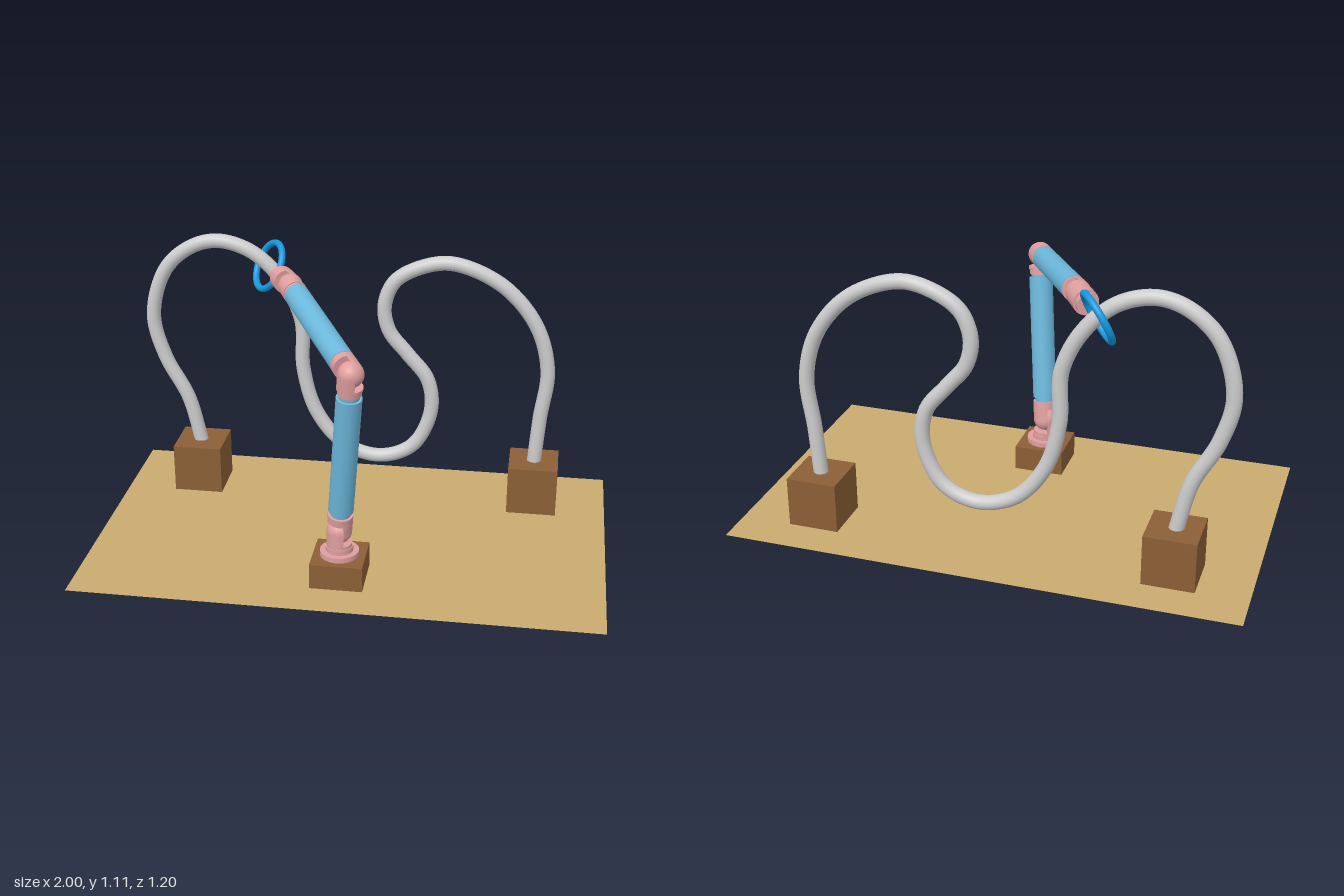
import * as THREE from 'three';

const V = (x, y, z) => new THREE.Vector3(x, y, z);
const paint = (color) => new THREE.MeshStandardMaterial({ color });

export function createModel() {
  const model = new THREE.Group();
  const brown = paint(0x8b5f36), pink = paint(0xdf9e9e), blue = paint(0x6cb8dc);
  const ringBlue = paint(0x1398de), grey = paint(0xcccccc), tan = paint(0xc8ab6e);
  tan.side = THREE.DoubleSide;

  const add = (parent, name, geometry, material) => {
    const mesh = new THREE.Mesh(geometry, material);
    mesh.name = name;
    parent.add(mesh);
    return mesh;
  };

  // Floor sheet and wooden blocks
  add(model, 'floor', new THREE.PlaneGeometry(2, 1.2).rotateX(-Math.PI / 2), tan);
  const block = (name, x, z, h) =>
    add(model, name, new THREE.BoxGeometry(0.2, h, 0.2).translate(x, h / 2, z), brown);
  block('leftWireBlock', 0.7, -0.35, 0.2);
  block('rightWireBlock', -0.7, -0.35, 0.2);
  block('armBlock', 0, 0.35, 0.1);

  // Winding wire, in one upright plane
  const path = [
    [-0.7, 0.18], [-0.75, 0.39], [-0.84, 0.57], [-0.88, 0.75], [-0.82, 0.95], [-0.71, 1.05],
    [-0.595, 1.08], [-0.46, 1.04], [-0.34, 0.925], [-0.265, 0.765], [-0.258, 0.55],
    [-0.205, 0.36], [-0.09, 0.22], [0.06, 0.175], [0.195, 0.23], [0.27, 0.39], [0.255, 0.53],
    [0.17, 0.64], [0.095, 0.735], [0.075, 0.84], [0.115, 0.945], [0.22, 1.01], [0.345, 1.03],
    [0.54, 0.95], [0.68, 0.79], [0.735, 0.6], [0.715, 0.39], [0.7, 0.18],
  ].map(([x, y]) => V(x, y, -0.35));
  add(model, 'wire', new THREE.TubeGeometry(new THREE.CatmullRomCurve3(path), 260, 0.029, 20), grey);

  // Arm: three hinges lying in one upright plane, all turning about the same axis
  const hinge = V(0.88, 0, -0.475).normalize();
  const shoulder = V(0, 0.2, 0.35), elbow = V(0.06, 0.885, 0.46);
  const wrist = V(-0.265, 0.98, -0.142), ringCentre = V(-0.393, 0.984, -0.355);
  const R = 0.048;

  // A group at a point whose y axis runs along dir and whose x axis is the hinge axis
  const frame = (name, origin, dir) => {
    const g = new THREE.Group();
    const y = dir.clone().normalize();
    const x = hinge.clone().addScaledVector(y, -hinge.dot(y)).normalize();
    g.quaternion.setFromRotationMatrix(new THREE.Matrix4().makeBasis(x, y, x.clone().cross(y)));
    g.position.copy(origin);
    g.name = name;
    model.add(g);
    return g;
  };
  const rod = (g, name, r, from, to, mat) =>
    add(g, name, new THREE.CylinderGeometry(r, r, to - from, 32).translate(0, (from + to) / 2, 0), mat);

  // Hinge half: a domed half cylinder that becomes a full cylinder away from the joint
  const hingeHalf = (g, side, length) => {
    const profile = [];
    for (let i = 0; i <= 12; i++) {
      const a = (i / 12) * Math.PI / 2;
      profile.push(new THREE.Vector2(R * Math.sin(a), -R * Math.cos(a)));
    }
    profile.push(new THREE.Vector2(R, R + 0.004));
    const turn = side > 0 ? 0 : Math.PI;
    add(g, 'hingeDome', new THREE.LatheGeometry(profile, 20, 0, Math.PI).rotateY(turn), pink);
    const outline = [...profile, ...profile.slice(1).reverse().map((p) => new THREE.Vector2(-p.x, p.y))];
    add(g, 'hingeFace', new THREE.ShapeGeometry(new THREE.Shape(outline))
      .rotateY(-Math.PI / 2 + turn), pink);
    rod(g, 'hingeSleeve', R, R, length, pink);
  };

  // Turntable and column
  const column = frame('column', shoulder, V(0, -1, 0));
  hingeHalf(column, -1, 0.08);
  rod(column, 'columnRing', 0.05, 0.06, 0.08, pink);
  rod(column, 'columnFoot', 0.052, 0.062, 0.08, pink);
  rod(column, 'turntable', 0.074, 0.08, 0.1, pink);

  // A link between two hinges, with a thick blue tube on a thinner core
  const link = (name, a, b, tubeFrom, tubeTo) => {
    const length = a.distanceTo(b), dir = b.clone().sub(a);
    const start = frame(name, a, dir);
    hingeHalf(start, 1, 0.08);
    rod(start, 'core', 0.038, 0.075, length - 0.07, blue);
    rod(start, 'tube', 0.0475, tubeFrom, tubeTo, blue);
    const end = frame(name + 'End', b, dir.negate());
    hingeHalf(end, -1, 0.06);
    rod(end, 'collar', 0.044, 0.055, 0.08, pink);
  };
  link('upperArm', shoulder, elbow, 0.098, 0.6);
  link('forearm', elbow, wrist, 0.083, 0.615);

  // Wrist and its end flange
  const hand = frame('wrist', wrist, ringCentre.clone().sub(wrist));
  hingeHalf(hand, 1, 0.1);
  rod(hand, 'flange', 0.04, 0.1, 0.125, pink);

  // Ring around the wire
  const ring = add(model, 'ring', new THREE.TorusGeometry(0.096, 0.0135, 16, 56), ringBlue);
  ring.position.copy(ringCentre);
  ring.quaternion.setFromUnitVectors(V(0, 0, 1), V(0.75, -0.44, -0.5).normalize());

  return model;
}
